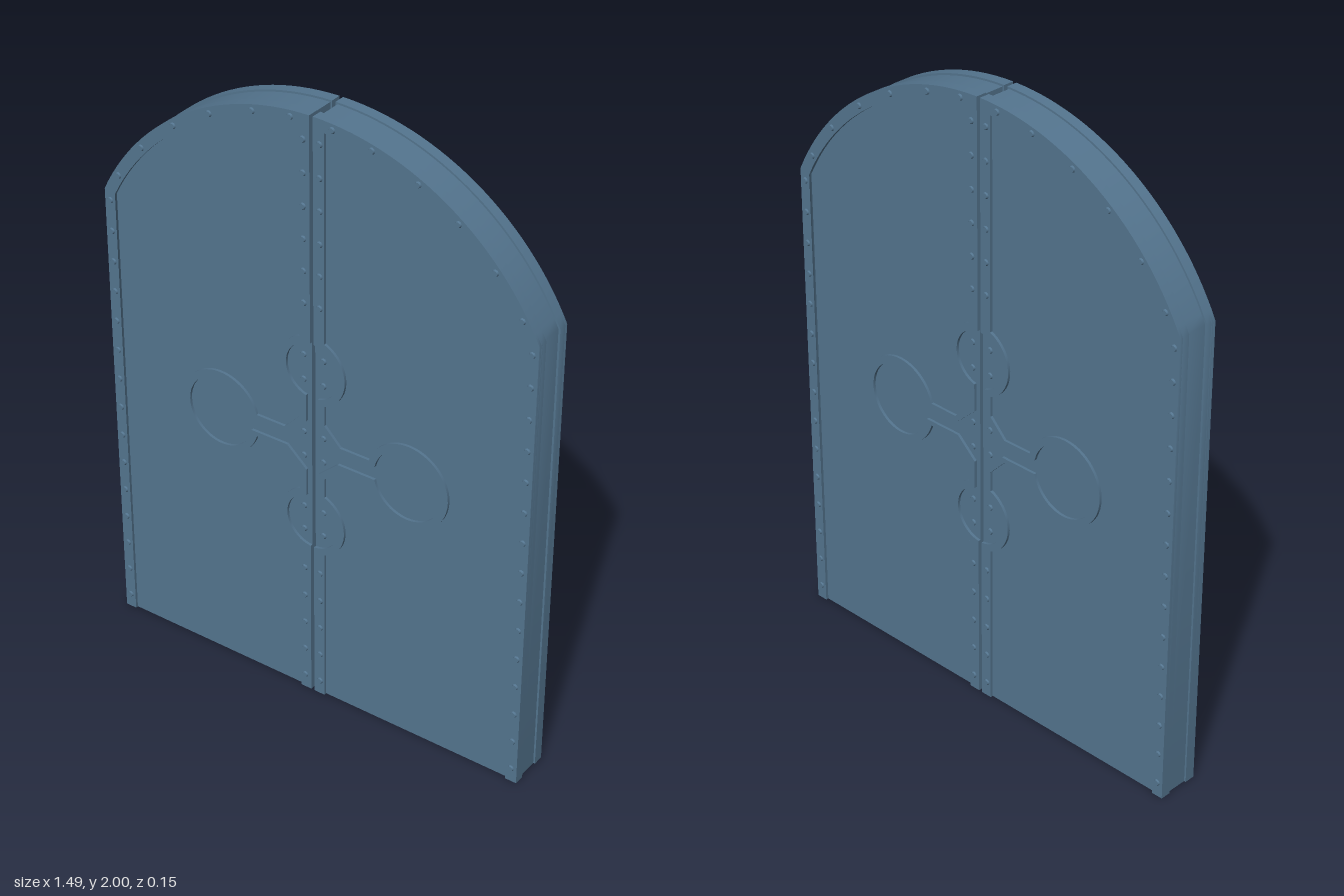
import * as THREE from 'three';
import { toCreasedNormals } from 'three/addons/utils/BufferGeometryUtils.js';

const SEAM = 0.006, HALF = 0.745, ARC_Y = 1.167, ARC_R = 0.833;
const MID = 0.914; // height of the ornament's centre

const V = (x, y) => new THREE.Vector2(x, y);

// Leaf outline inset by d, open at the bottom: up the seam, over the arch, down the outer side
function leafEdge(d, seamInset = d) {
  const r = ARC_R - d, x0 = SEAM + seamInset, x1 = HALF - d;
  const a0 = Math.acos(x0 / r), a1 = Math.acos(x1 / r), n = 28;
  const pts = [V(x0, 0)];
  for (let i = 0; i <= n; i++) {
    const a = a0 + (a1 - a0) * i / n;
    pts.push(V(r * Math.cos(a), ARC_Y + r * Math.sin(a)));
  }
  pts.push(V(x1, 0));
  return pts;
}

// Half of the cross-shaped ornament's outline, inset by d, from lower seam to upper seam
function ornamentEdge(d) {
  const lower = [];
  const R = 0.115 - d, neck = 0.044 - d, bar = 0.038 - d * 0.65;
  const ringR = 0.139 - d, ringX = 0.335, discY = 0.267;
  // disc below the centre
  const s = -Math.acos(SEAM / R), e = Math.acos(neck / R);
  for (let i = 0; i <= 20; i++) {
    const a = s + (e - s) * i / 20;
    lower.push(V(R * Math.cos(a), -discY + R * Math.sin(a)));
  }
  // neck, flare and arm
  lower.push(V(neck, -0.095 + d * 0.4), V(0.1 - d * 0.4, -bar));
  // lower half of the side ring
  const b = Math.PI + Math.asin(bar / ringR);
  for (let i = 0; i <= 24; i++) {
    const a = b + (2 * Math.PI - b) * i / 24;
    lower.push(V(ringX + ringR * Math.cos(a), ringR * Math.sin(a)));
  }
  const upper = lower.slice(0, -1).reverse().map(p => V(p.x, -p.y));
  return [...lower, ...upper].map(p => V(p.x, p.y + MID));
}

function extrude(points, z0, z1) {
  const g = new THREE.ExtrudeGeometry(new THREE.Shape(points), { depth: z1 - z0, bevelEnabled: false });
  g.translate(0, 0, z0);
  return toCreasedNormals(g, 0.5);
}

const between = (a, b) => [...a, ...b.slice().reverse()];
const rect = (x0, x1, y0, y1) => [V(x0, y0), V(x1, y0), V(x1, y1), V(x0, y1)];

export function createModel() {
  const steel = new THREE.MeshStandardMaterial({ color: 0x54758f });
  steel.name = 'blue steel';

  function buildLeaf(name) {
    const leaf = new THREE.Group();
    leaf.name = name;
    const add = (geo, part) => {
      const m = new THREE.Mesh(geo, steel);
      m.name = part;
      leaf.add(m);
      return m;
    };
    // The same plate on the front and the back
    const addBoth = (points, z0, z1, part) => {
      add(extrude(points, z0, z1), part + 'Front');
      add(extrude(points, -z1, -z0), part + 'Back');
    };

    // Hollow shell: recessed core wall, stepped rims and two panels
    add(extrude(between(leafEdge(0.006), leafEdge(0.014)), -0.037, 0.037), 'coreWall');
    addBoth(between(leafEdge(0), leafEdge(0.014)), 0.036, 0.061, 'rim');
    addBoth(leafEdge(0), 0.054, 0.062, 'panel');

    // Raised trim along the side, arch and seam
    addBoth(between(leafEdge(0, 0).slice(1), leafEdge(0.038, 0).slice(1)), 0.061, 0.071, 'archTrim');
    addBoth(rect(SEAM, 0.044, 0, 0.54), 0.061, 0.071, 'lowerSeamTrim');
    addBoth(rect(SEAM, 0.044, 1.288, 1.965), 0.061, 0.071, 'upperSeamTrim');

    // Raised border of the ornament
    addBoth(between(ornamentEdge(0), ornamentEdge(0.023)), 0.061, 0.071, 'ornamentBorder');

    // Rivets: [x, y, height of the surface beneath]
    const spots = [];
    for (let i = 0; i < 15; i++) spots.push([0.725, 0.05 + i * 0.104, 0.071]);
    for (let i = 0; i < 19; i++) {
      const y = 0.05 + i * 0.104;
      if (y < 0.53 || y > 1.3) spots.push([0.028, y, 0.071]);
    }
    for (const x of [0.07, 0.2, 0.35, 0.48, 0.6, 0.69]) {
      const r = ARC_R - 0.019;
      spots.push([x, ARC_Y + Math.sqrt(r * r - x * x), 0.071]);
    }
    for (const c of [-0.267, 0, 0.267])
      for (const dy of [-0.042, 0.042]) spots.push([0.035, MID + c + dy, 0.062]);

    const rivet = new THREE.CylinderGeometry(0.008, 0.011, 0.006, 10).rotateX(Math.PI / 2);
    const rivetBack = rivet.clone().rotateY(Math.PI);
    for (const [x, y, z] of spots) {
      add(rivet, 'rivetFront').position.set(x, y, z + 0.002);
      add(rivetBack, 'rivetBack').position.set(x, y, -z - 0.002);
    }
    return leaf;
  }

  const door = new THREE.Group();
  door.name = 'archedDoubleDoor';
  const left = buildLeaf('leftLeaf');
  // Each leaf is the same front and back, so a half turn mirrors it
  const right = buildLeaf('rightLeaf');
  right.rotation.y = Math.PI;
  door.add(left, right);
  return door;
}
